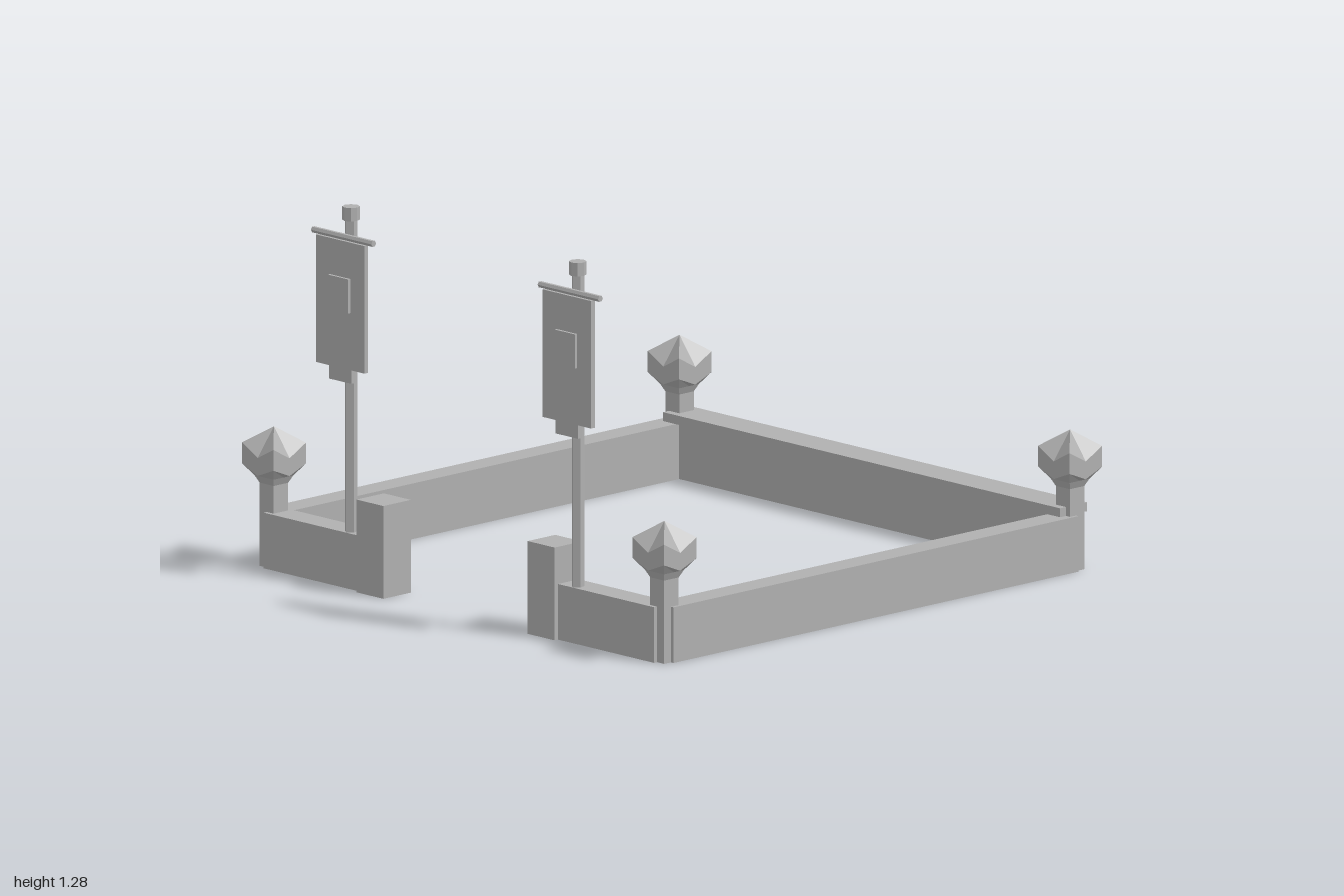
import * as THREE from 'three';

const stone = new THREE.MeshStandardMaterial({ color: 0xb0b0b0, side: THREE.DoubleSide });
stone.name = 'plain grey';

function add(parent, name, geometry) {
  const mesh = new THREE.Mesh(geometry, stone);
  mesh.name = name;
  parent.add(mesh);
  return mesh;
}

// Box given by its min and max corners; open boxes have no underside
function box(x0, x1, y0, y1, z0, z1, open = false) {
  const g = new THREE.BoxGeometry(x1 - x0, y1 - y0, z1 - z0);
  g.translate((x0 + x1) / 2, (y0 + y1) / 2, (z0 + z1) / 2);
  if (open) {
    const index = [...g.index.array];
    index.splice(18, 6);
    g.setIndex(index);
    g.clearGroups();
  }
  return g;
}

// Faceted rod with hard edges
function rod(radius, length, sides) {
  const g = new THREE.CylinderGeometry(radius, radius, length, sides).toNonIndexed();
  g.computeVertexNormals();
  return g;
}

// Corner post: square rings [half width, height at side middles, height at corners]
function postGeometry() {
  const rings = [
    [0.033, 0, 0], [0.033, 0.28, 0.28], [0.045, 0.305, 0.305],
    [0.074, 0.315, 0.345], [0.074, 0.375, 0.415], [0, 0.47, 0.47],
  ];
  const positions = [], index = [];
  for (const [w, yMid, yCorner] of rings) {
    for (let k = 0; k < 8; k++) {
      const a = k * Math.PI / 4, corner = k % 2 === 1;
      const r = corner ? w * Math.SQRT2 : w;
      positions.push(r * Math.sin(a), corner ? yCorner : yMid, r * Math.cos(a));
    }
  }
  for (let j = 0; j < rings.length - 1; j++) {
    for (let k = 0; k < 8; k++) {
      const a = j * 8 + k, b = j * 8 + (k + 1) % 8;
      index.push(a, b, a + 8);
      if (j < rings.length - 2) index.push(b, b + 8, a + 8);
    }
  }
  const g = new THREE.BufferGeometry();
  g.setAttribute('position', new THREE.Float32BufferAttribute(positions, 3));
  g.setIndex(index);
  const flat = g.toNonIndexed();
  flat.computeVertexNormals();
  return flat;
}

// Banner hanging from a crossbar on a pole
function createBanner() {
  const banner = new THREE.Group();
  add(banner, 'pole', rod(0.022, 1.06, 5)).position.set(0, 0.71, 0.94);
  add(banner, 'poleCap', rod(0.029, 0.045, 8)).position.set(0, 1.258, 0.94);
  const bar = add(banner, 'crossbar', rod(0.011, 0.285, 6));
  bar.rotation.z = Math.PI / 2;
  bar.position.set(0, 1.184, 0.974);
  // Cloth with a narrower tab at the bottom
  const s = new THREE.Shape();
  [[-0.114, 1.174], [-0.114, 0.745], [-0.053, 0.745], [-0.053, 0.7],
    [0.053, 0.7], [0.053, 0.745], [0.114, 0.745], [0.114, 1.174]]
    .forEach(([x, y], i) => (i ? s.lineTo(x, y) : s.moveTo(x, y)));
  const cloth = new THREE.ExtrudeGeometry(s, { depth: 0.017, bevelEnabled: false });
  add(banner, 'cloth', cloth.translate(0, 0, 0.972));
  add(banner, 'clothPatch', box(-0.048, 0.048, 0.937, 1.052, 0.989, 0.999));
  return banner;
}

export function createModel() {
  const model = new THREE.Group();
  model.name = 'walledEnclosure';

  // Back wall with its top rail
  add(model, 'backWall', box(-0.92, 0.92, 0, 0.187, -0.968, -0.88, true));
  add(model, 'backRail', box(-0.935, 0.935, 0.187, 0.217, -0.988, -0.865));

  const post = postGeometry();
  for (const side of [-1, 1]) {
    const name = side > 0 ? 'left' : 'right';
    const span = (a, b) => (side > 0 ? [a, b] : [-b, -a]);

    // Side wall, short front wall and gate post
    add(model, name + 'SideWall', box(...span(0.875, 0.965), 0, 0.187, -0.92, 0.92, true));
    add(model, name + 'FrontWall', box(...span(0.41, 0.92), 0, 0.187, 0.87, 0.965, true));
    add(model, name + 'GatePost', box(...span(0.34, 0.467), 0, 0.312, 0.855, 0.98, true));

    // Corner posts with pointed caps
    for (const z of [-0.925, 0.918]) {
      const end = z > 0 ? 'Front' : 'Back';
      add(model, name + end + 'CornerPost', post).position.set(side * 0.92, 0, z);
    }

    const banner = createBanner();
    banner.name = name + 'Banner';
    banner.position.x = side * 0.534;
    model.add(banner);
  }
  return model;
}
